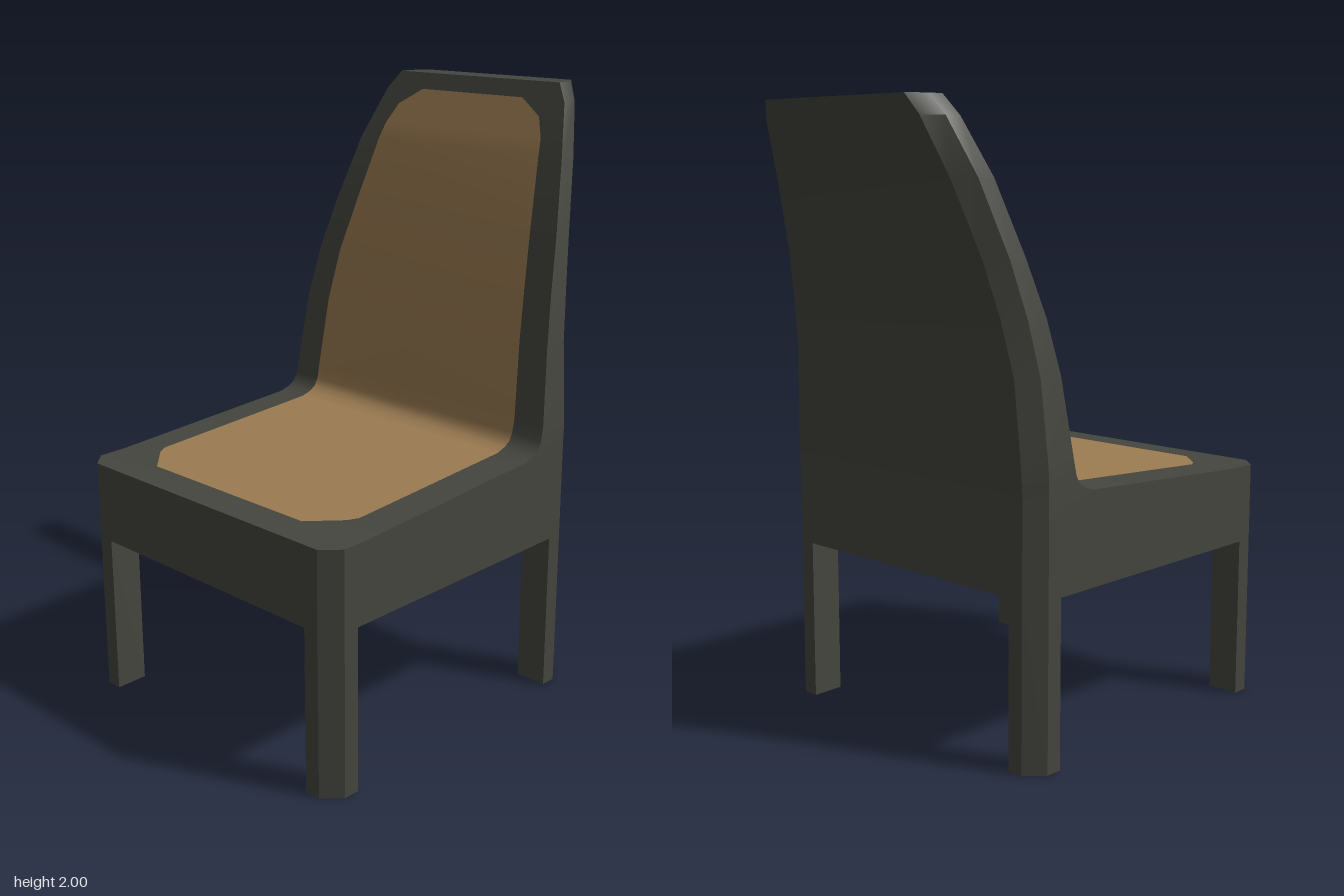
import * as THREE from 'three';
import { toCreasedNormals } from 'three/addons/utils/BufferGeometryUtils.js';

const frameMat = new THREE.MeshStandardMaterial({ color: 0x45463f });
frameMat.name = 'dark frame';
const padMat = new THREE.MeshStandardMaterial({ color: 0x9c7c52, side: THREE.DoubleSide });
padMat.name = 'tan upholstery';

// Horizontal sections of seat and backrest:
// [y, front x, front chamfer, side's rear x, rear x, half width, rear half width]
const SECTIONS = [
  [0.54, -0.70, 0.055, 0.38, 0.435, 0.57, 0.515],
  [0.80, -0.70, 0.055, 0.38, 0.435, 0.57, 0.515],
  [0.801, -0.55, 0, 0.38, 0.435, 0.57, 0.515],
  [0.845, 0.18, 0, 0.38, 0.435, 0.57, 0.515],
  [0.857, 0.22, 0, 0.38, 0.435, 0.57, 0.515],
  [0.873, 0.245, 0, 0.38, 0.436, 0.57, 0.515],
  [0.90, 0.26, 0, 0.381, 0.437, 0.57, 0.514],
  [0.95, 0.27, 0, 0.382, 0.439, 0.568, 0.512],
  [1.20, 0.305, 0, 0.393, 0.45, 0.546, 0.495],
  [1.37, 0.345, 0, 0.424, 0.48, 0.524, 0.47],
  [1.54, 0.40, 0, 0.467, 0.522, 0.495, 0.44],
  [1.77, 0.48, 0, 0.543, 0.60, 0.445, 0.39],
  [1.94, 0.558, 0, 0.614, 0.67, 0.39, 0.345],
  [2.00, 0.585, 0, 0.64, 0.697, 0.348, 0.312],
];

// Upholstery stations along the seat and up the back: [x, y, half width]
const PAD = [
  [-0.59, 0.80, 0.34], [-0.50, 0.804, 0.435], [-0.465, 0.806, 0.455],
  [0.18, 0.845, 0.455], [0.22, 0.857, 0.455], [0.245, 0.873, 0.455],
  [0.26, 0.90, 0.455], [0.27, 0.95, 0.455], [0.305, 1.20, 0.438],
  [0.345, 1.37, 0.42], [0.40, 1.54, 0.393], [0.48, 1.77, 0.355],
  [0.505, 1.825, 0.343], [0.535, 1.89, 0.31], [0.56, 1.944, 0.22],
];

// Loft the sections into one closed shell
function bodyGeometry() {
  const rings = SECTIONS.map(([y, xf, c, xs, xr, w, wr]) => {
    const half = [[xf, w - c], [xf + c, w], [xs, w], [xr, wr]];
    return [...half, ...half.map(([x, z]) => [x, -z]).reverse()]
      .map(([x, z]) => new THREE.Vector3(x, y, z));
  });
  const pos = [];
  const tri = (a, b, c) => {
    const area = b.clone().sub(a).cross(c.clone().sub(a)).length();
    if (area > 1e-9) for (const p of [a, b, c]) pos.push(p.x, p.y, p.z);
  };
  for (let k = 0; k < rings.length - 1; k++) {
    const lo = rings[k], hi = rings[k + 1];
    for (let i = 0; i < 8; i++) {
      const j = (i + 1) % 8;
      tri(lo[i], lo[j], hi[j]);
      tri(lo[i], hi[j], hi[i]);
    }
  }
  const bottom = rings[0], top = rings[rings.length - 1];
  for (let i = 1; i < 7; i++) {
    tri(bottom[0], bottom[i + 1], bottom[i]);
    tri(top[0], top[i], top[i + 1]);
  }
  const g = new THREE.BufferGeometry();
  g.setAttribute('position', new THREE.Float32BufferAttribute(pos, 3));
  return toCreasedNormals(g, 0.7);
}

// Ribbon lifted slightly off the seat and back
function padGeometry() {
  const pos = [], idx = [], lift = 0.005;
  PAD.forEach(([x, y, w], i) => {
    const a = PAD[Math.max(i - 1, 0)], b = PAD[Math.min(i + 1, PAD.length - 1)];
    const dx = b[0] - a[0], dy = b[1] - a[1], len = Math.hypot(dx, dy);
    const px = x - dy / len * lift, py = y + dx / len * lift;
    pos.push(px, py, w, px, py, -w);
    if (i) {
      const n = 2 * (i - 1);
      idx.push(n, n + 2, n + 3, n, n + 3, n + 1);
    }
  });
  const g = new THREE.BufferGeometry();
  g.setAttribute('position', new THREE.Float32BufferAttribute(pos, 3));
  g.setIndex(idx);
  g.computeVertexNormals();
  return g;
}

// Square leg with its outer corner cut off
function legGeometry(sx, sz) {
  const s = 0.055;
  const pts = [[-s, -s], [s, -s], [s, 0], [0, s], [-s, s]]
    .map(([x, z]) => new THREE.Vector2(x * sx, -z * sz));
  const g = new THREE.ExtrudeGeometry(new THREE.Shape(pts), { depth: 0.54, bevelEnabled: false });
  return g.rotateX(-Math.PI / 2);
}

export function createModel() {
  const chair = new THREE.Group();
  chair.name = 'chair';
  const add = (name, geometry, material) => {
    const mesh = new THREE.Mesh(geometry, material);
    mesh.name = name;
    chair.add(mesh);
    return mesh;
  };
  add('seatAndBackrest', bodyGeometry(), frameMat);
  add('upholstery', padGeometry(), padMat);
  for (const [name, sx, x] of [['seatFrontLeg', -1, -0.645], ['seatRearLeg', 1, 0.38]]) {
    for (const sz of [-1, 1]) {
      add(name, legGeometry(sx, sz), frameMat).position.set(x, 0, sz * 0.515);
    }
  }
  return chair;
}
